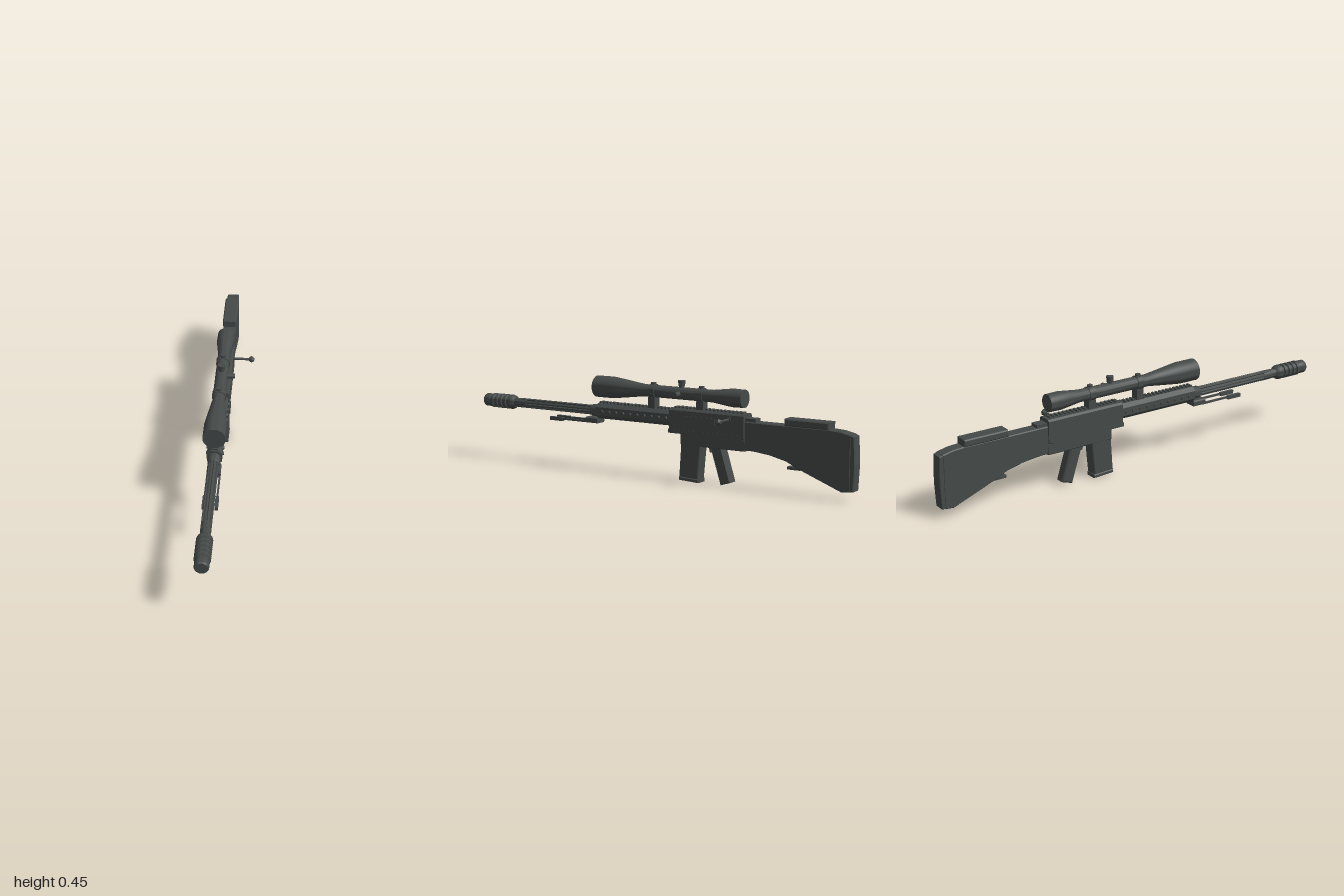
import * as THREE from 'three';
import { toCreasedNormals } from 'three/addons/utils/BufferGeometryUtils.js';

export function createModel() {
  const gunmetal = new THREE.MeshStandardMaterial({ color: 0x454a49 });
  gunmetal.name = 'dark gunmetal';
  const model = new THREE.Group();
  model.name = 'rifle';
  const body = new THREE.Group();
  body.name = 'rifleBody';
  body.position.x = -0.044; // bolt handle sticks out to +x, so the body sits off centre
  model.add(body);

  const add = (name, geo, x = 0, y = 0, z = 0) => {
    const m = new THREE.Mesh(geo, gunmetal);
    m.name = name;
    m.position.set(x, y, z);
    body.add(m);
    return m;
  };
  // Box given by its extents in y and z
  const box = (name, w, y0, y1, z0, z1, x = 0) =>
    add(name, new THREE.BoxGeometry(w, y1 - y0, Math.abs(z1 - z0)), x, (y0 + y1) / 2, (z0 + z1) / 2);
  // Round part along z from [radius, z] pairs, z rising
  const turned = (name, pts, y, seg = 24) => {
    const g = new THREE.LatheGeometry(pts.map(p => new THREE.Vector2(p[0], p[1])), seg);
    g.rotateX(Math.PI / 2);
    return add(name, toCreasedNormals(g, 0.6), 0, y);
  };
  const outline = pts => new THREE.Shape(pts.map(p => new THREE.Vector2(p[0], p[1])));
  // Side silhouette in [z, y], extruded across x with a small bevel
  const side = (name, pts, width, bevel = 0.004) => {
    const g = new THREE.ExtrudeGeometry(outline(pts), {
      depth: width - 2 * bevel, bevelEnabled: true, bevelSegments: 1,
      bevelSize: bevel, bevelOffset: -bevel, bevelThickness: bevel,
    });
    g.translate(0, 0, -(width - 2 * bevel) / 2);
    g.rotateY(-Math.PI / 2);
    return add(name, g);
  };
  // Cross-section in [x, y], extruded along z
  const section = (name, pts, z0, z1) =>
    add(name, new THREE.ExtrudeGeometry(outline(pts), { depth: z1 - z0, bevelEnabled: false }), 0, 0, z0);
  const chamfered = (w, y0, y1, c) => {
    const h = w / 2;
    return [[-h + c, y0], [h - c, y0], [h, y0 + c], [h, y1 - c], [h - c, y1], [-h + c, y1], [-h, y1 - c], [-h, y0 + c]];
  };

  // Barrel: plain ends with a fluted middle
  const axis = 0.281;
  turned('barrelFront', [[0, 0.74], [0.022, 0.74], [0.022, 0.83], [0, 0.83]], axis);
  turned('barrelRear', [[0, 0.2], [0.028, 0.2], [0.028, 0.35], [0.023, 0.36], [0, 0.36]], axis);
  const flutes = [];
  for (let i = 0; i < 48; i++) {
    const a = (i / 48) * Math.PI * 2;
    const r = i % 6 < 2 ? 0.017 : 0.023;
    flutes.push([Math.cos(a) * r, axis + Math.sin(a) * r]);
  }
  section('flutedBarrel', flutes, 0.35, 0.785);

  // Muzzle brake with ribs
  const brake = [[0, 0.815], [0.024, 0.815], [0.032, 0.825]];
  for (let i = 0; i < 5; i++) {
    const z = 0.835 + i * 0.026;
    brake.push([0.035, z], [0.035, z + 0.012], [0.029, z + 0.015], [0.029, z + 0.023]);
  }
  brake.push([0.031, 0.965], [0.031, 0.994], [0.027, 1.0], [0, 1.0]);
  turned('muzzleBrake', brake, axis);

  // Handguard with side studs
  section('handguard', chamfered(0.066, 0.247, 0.318, 0.017), -0.1, 0.315);
  for (let i = 0; i < 10; i++) {
    for (const s of [-1, 1]) {
      const stud = add('handguardStud', new THREE.CylinderGeometry(0.007, 0.009, 0.008, 8), s * 0.035, axis, 0.28 - i * 0.039);
      stud.rotation.z = -s * Math.PI / 2;
    }
  }

  // Receiver
  section('upperReceiver', chamfered(0.073, 0.217, 0.33, 0.008), -0.475, -0.09);
  for (const s of [-1, 1]) box('receiverFlange', 0.012, 0.218, 0.236, -0.46, -0.087, s * 0.0315);
  section('lowerReceiver', chamfered(0.062, 0.167, 0.222, 0.004), -0.475, -0.15);
  box('ejectionCover', 0.006, 0.27, 0.3, -0.33, -0.18, 0.0355);

  // Top rails
  for (let i = 0; i < 20; i++) box('handguardRailTooth', 0.03, 0.314, 0.326, 0.298 - i * 0.02, 0.308 - i * 0.02);
  for (let i = 0; i < 18; i++) box('receiverRailTooth', 0.034, 0.327, 0.337, -0.118 - i * 0.02, -0.108 - i * 0.02);

  // Magazine, grip, trigger
  side('magazine', [[-0.15, 0.18], [-0.253, 0.18], [-0.238, 0.018], [-0.14, 0.022]], 0.059);
  side('magazineBase', [[-0.137, 0.023], [-0.242, 0.018], [-0.241, 0.001], [-0.138, 0.006]], 0.06);
  side('pistolGrip', [[-0.295, 0.18], [-0.355, 0.18], [-0.405, 0.02], [-0.352, 0.003]], 0.05, 0.006);
  side('trigger', [[-0.278, 0.175], [-0.29, 0.175], [-0.294, 0.142], [-0.286, 0.142]], 0.012, 0.002);

  // Stock, butt pad, cheek rest and rear hook
  side('stock', [[-0.47, 0.3], [-0.88, 0.3], [-0.93, 0.297], [-0.98, 0.286], [-0.98, 0.044], [-0.94, 0.04],
    [-0.735, 0.118], [-0.68, 0.144], [-0.6, 0.163], [-0.53, 0.171], [-0.47, 0.174]], 0.058);
  side('buttPad', [[-0.976, 0.286], [-0.994, 0.28], [-1, 0.16], [-0.994, 0.046], [-0.976, 0.044]], 0.055, 0.003);
  box('stockJoint', 0.046, 0.26, 0.314, -0.525, -0.47);
  side('cheekRest', [[-0.67, 0.298], [-0.67, 0.33], [-0.88, 0.33], [-0.88, 0.298]], 0.066, 0.005);
  box('hookStem', 0.02, 0.117, 0.15, -0.735, -0.705);
  box('hookFoot', 0.032, 0.109, 0.121, -0.74, -0.678);

  // Folded bipod
  section('bipodMount', chamfered(0.06, 0.223, 0.25, 0.005), 0.312, 0.377);
  for (const s of [-1, 1]) {
    box('bipodLeg', 0.008, 0.224, 0.233, 0.36, 0.52, s * 0.027);
    box('bipodFoot', 0.015, 0.218, 0.235, 0.51, 0.583, s * 0.027);
  }

  // Bolt handle with faceted knob
  const rod = add('boltHandle', new THREE.CylinderGeometry(0.006, 0.006, 0.1, 10), 0.072, 0.303, -0.4);
  rod.rotation.z = Math.PI / 2;
  const collar = add('boltCollar', new THREE.CylinderGeometry(0.013, 0.013, 0.008, 12), 0.038, 0.303, -0.4);
  collar.rotation.z = Math.PI / 2;
  add('boltKnob', new THREE.IcosahedronGeometry(0.0165, 0), 0.122, 0.303, -0.4);

  // Scope
  const sight = 0.395;
  turned('scope', [[0, -0.46], [0.04, -0.46], [0.041, -0.4], [0.036, -0.36], [0.028, -0.3], [0.028, 0.06],
    [0.033, 0.1], [0.046, 0.2], [0.05, 0.235], [0.05, 0.327], [0, 0.327]], sight, 32);
  for (const z of [0.015, -0.24]) {
    turned('scopeRing', [[0, z - 0.016], [0.032, z - 0.016], [0.032, z + 0.016], [0, z + 0.016]], sight);
    box('scopeMount', 0.04, 0.318, 0.368, z - 0.018, z + 0.018);
    add('ringScrew', new THREE.CylinderGeometry(0.012, 0.012, 0.02, 12), 0, 0.425, z);
  }

  // Adjustment turrets
  add('topTurretStem', new THREE.CylinderGeometry(0.012, 0.012, 0.04, 16), 0, 0.43, -0.135);
  add('topTurretCap', new THREE.CylinderGeometry(0.017, 0.015, 0.025, 16), 0, 0.441, -0.135);
  const sideTurret = add('sideTurret', new THREE.CylinderGeometry(0.012, 0.012, 0.04, 16), 0.04, 0.394, -0.135);
  sideTurret.rotation.z = Math.PI / 2;

  return model;
}
